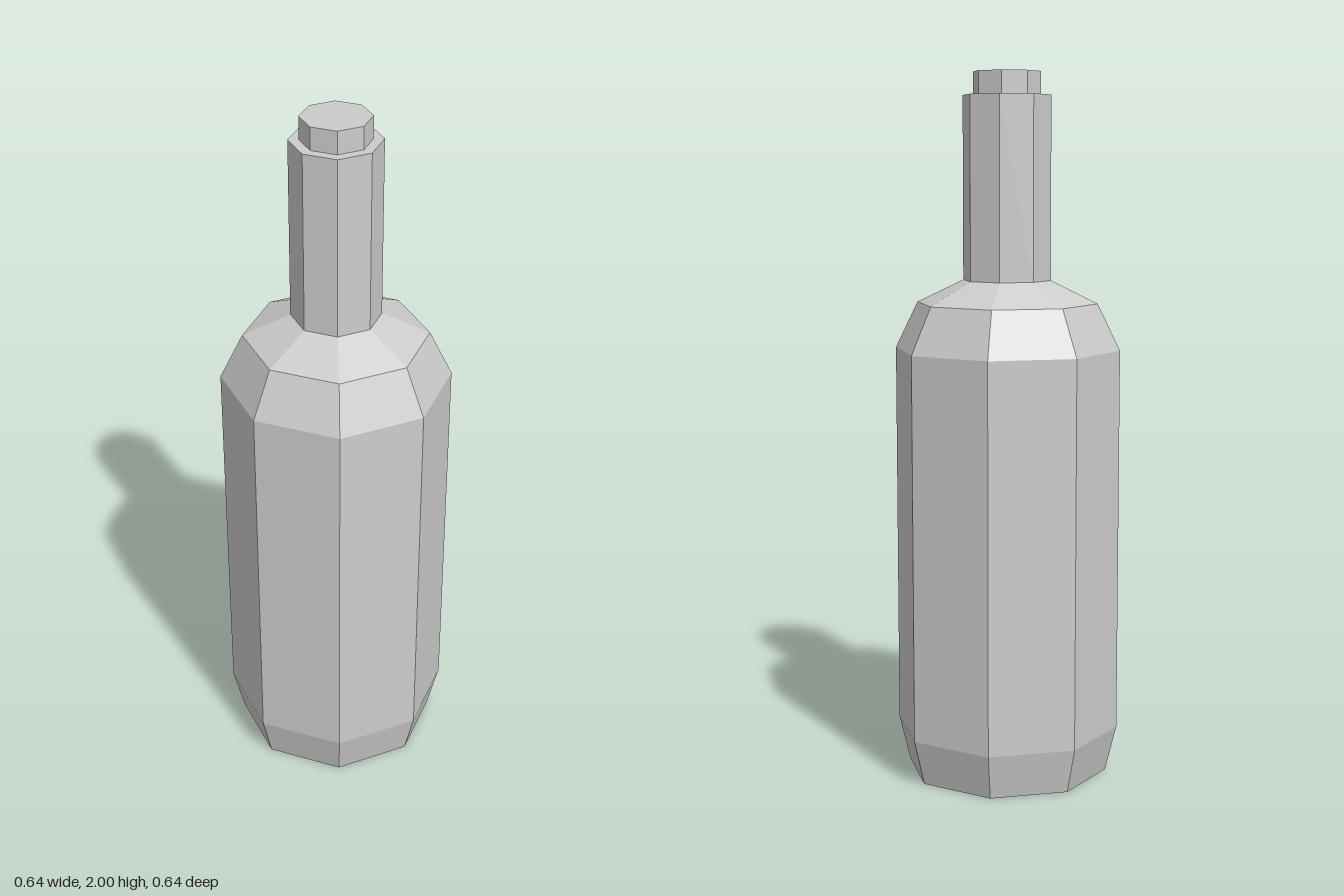
import * as THREE from 'three';

const SIDES = 8;

export function createModel() {
  const model = new THREE.Group();
  model.name = 'bottle';
  const grey = new THREE.MeshStandardMaterial({ color: 0xcccccc, flatShading: true });
  grey.name = 'light grey';

  // Turns a [radius, height] profile, listed from bottom to top, into an eight-sided part
  const turn = (name, profile) => {
    const points = profile.map(([r, y]) => new THREE.Vector2(r, y));
    const mesh = new THREE.Mesh(new THREE.LatheGeometry(points, SIDES), grey);
    mesh.name = name;
    model.add(mesh);
  };

  // Closed base, chamfered foot, straight wall and sloping shoulder
  turn('body', [[0, 0], [0.29, 0], [0.322, 0.13], [0.322, 1.227], [0.258, 1.358], [0.125, 1.422]]);
  // Straight neck with a flat rim
  turn('neck', [[0.125, 1.422], [0.125, 1.936], [0.096, 1.936]]);
  // Narrower stopper with a flat top
  turn('stopper', [[0.096, 1.936], [0.096, 2], [0, 2]]);

  return model;
}
